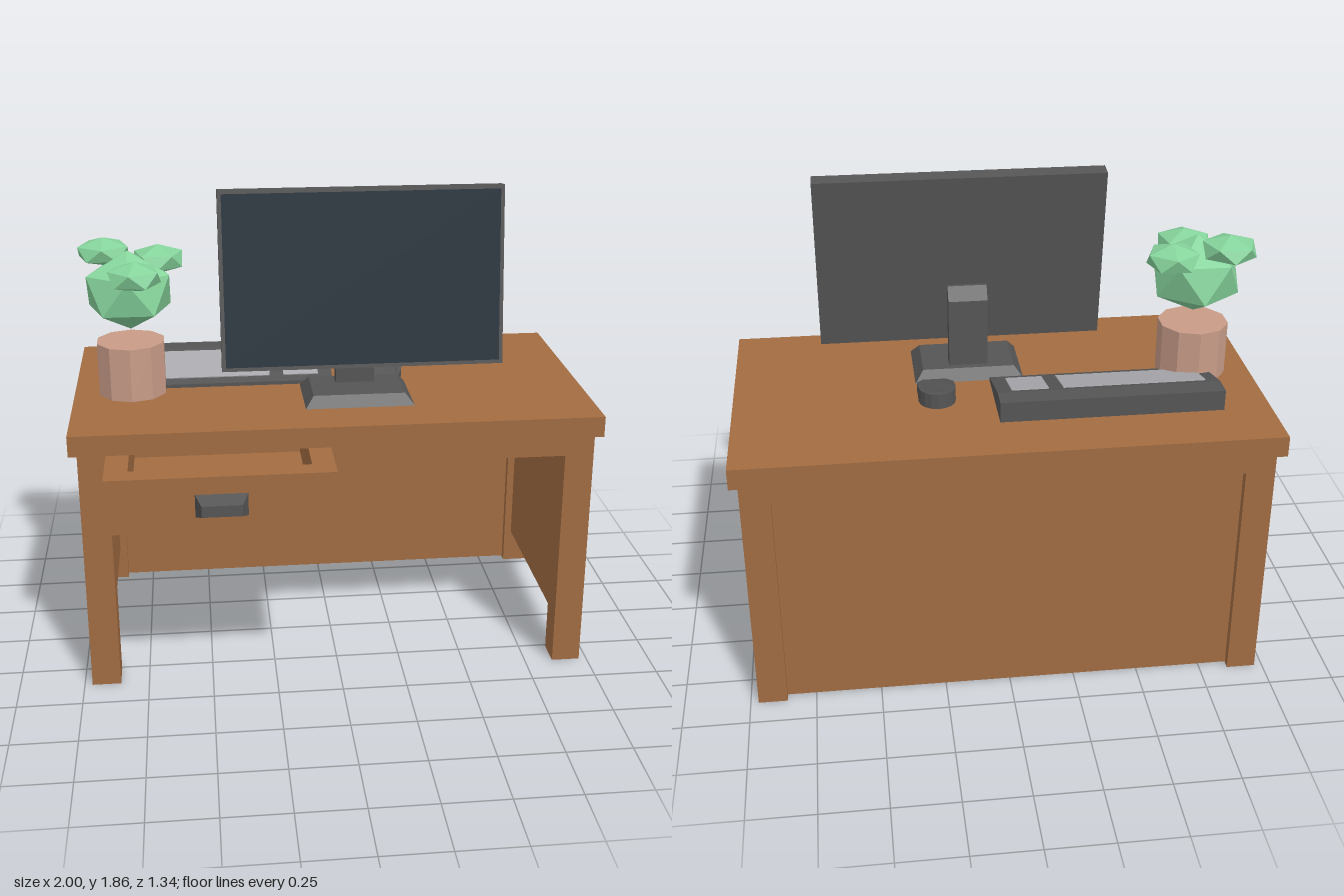
import * as THREE from 'three';

const mat = (name, color) => {
  const m = new THREE.MeshStandardMaterial({ color });
  m.name = name;
  return m;
};

export function createModel() {
  const wood = mat('wood', 0xa26c42);
  const grey = mat('dark grey plastic', 0x555555);
  const glass = mat('screen glass', 0x24303a);
  const keyGrey = mat('key grey', 0xa9a9ae);
  const clay = mat('clay', 0xc89c88);
  const leaf = mat('leaf green', 0x86d49c);

  const root = new THREE.Group();
  root.name = 'deskSetup';
  const group = (name) => {
    const g = new THREE.Group();
    g.name = name;
    root.add(g);
    return g;
  };
  const add = (parent, name, geo, material) => {
    const m = new THREE.Mesh(geo, material);
    m.name = name;
    parent.add(m);
    return m;
  };
  // Box given by its min and max on each axis
  const box = (parent, name, material, x0, x1, y0, y1, z0, z1) => {
    const g = new THREE.BoxGeometry(x1 - x0, y1 - y0, z1 - z0);
    g.translate((x0 + x1) / 2, (y0 + y1) / 2, (z0 + z1) / 2);
    return add(parent, name, g, material);
  };
  const faceted = (geo) => {
    const g = geo.index ? geo.toNonIndexed() : geo;
    g.computeVertexNormals();
    return g;
  };
  // Box standing on y = 0 whose top is inset on all sides
  const frustum = (w, h, d, inset) => {
    const g = new THREE.BoxGeometry(w, h, d).translate(0, h / 2, 0);
    const p = g.attributes.position;
    for (let i = 0; i < p.count; i++) {
      if (p.getY(i) < h / 2) continue;
      p.setX(i, p.getX(i) - Math.sign(p.getX(i)) * inset);
      p.setZ(i, p.getZ(i) - Math.sign(p.getZ(i)) * inset);
    }
    return faceted(g);
  };
  // Side profile of [z, y] points, extruded from x0 to x1
  const profile = (pts, x0, x1) => {
    const s = new THREE.Shape(pts.map(([z, y]) => new THREE.Vector2(-z, y)));
    const g = new THREE.ExtrudeGeometry(s, { depth: x1 - x0, bevelEnabled: false });
    return g.rotateY(Math.PI / 2).translate(x0, 0, 0);
  };

  // Desk
  const desk = group('desk');
  box(desk, 'deskTop', wood, -1, 1, 0.97, 1.05, -0.67, 0.39);
  for (const s of [-1, 1]) {
    const span = (a, b) => (s > 0 ? [a, b] : [-b, -a]);
    for (const [z0, z1] of [[0.26, 0.37], [-0.64, -0.53]]) {
      box(desk, 'leg', wood, ...span(0.86, 0.97), 0, 0.97, z0, z1);
    }
    box(desk, 'sideRail', wood, ...span(0.86, 0.97), 0.89, 0.97, -0.53, 0.26);
    box(desk, 'sidePanel', wood, ...span(0.89, 0.94), 0.14, 0.89, -0.53, 0.26);
  }
  box(desk, 'backRail', wood, -0.86, 0.86, 0.89, 0.97, -0.64, -0.53);
  box(desk, 'backPanel', wood, -0.86, 0.86, 0.005, 0.89, -0.61, -0.56);
  box(desk, 'frontRail', wood, -0.035, 0.86, 0.89, 0.97, 0.26, 0.37);
  box(desk, 'drawerSupport', wood, -0.86, -0.25, 0.67, 0.75, -0.56, 0.335);

  // Open drawer
  const drawer = group('drawer');
  box(drawer, 'drawerFront', wood, -0.865, -0.035, 0.755, 0.965, 0.53, 0.61);
  box(drawer, 'drawerRightSide', wood, -0.865, -0.78, 0.755, 0.965, -0.1, 0.53);
  box(drawer, 'drawerLeftSide', wood, -0.12, -0.035, 0.755, 0.965, -0.1, 0.53);
  box(drawer, 'drawerBack', wood, -0.78, -0.12, 0.755, 0.965, -0.1, -0.02);
  box(drawer, 'drawerFloor', wood, -0.78, -0.12, 0.755, 0.79, -0.02, 0.53);
  const handle = add(drawer, 'handle', frustum(0.19, 0.055, 0.087, 0.022), grey);
  handle.rotation.x = Math.PI / 2;
  handle.position.set(-0.45, 0.855, 0.61);

  // Monitor, leaning back
  const monitor = group('monitor');
  const panel = new THREE.Group();
  panel.name = 'monitorPanel';
  panel.position.set(0.118, 1.517, 0.033);
  panel.rotation.x = -0.132;
  monitor.add(panel);
  box(panel, 'casing', grey, -0.543, 0.543, -0.343, 0.343, -0.033, 0.03);
  box(panel, 'screen', glass, -0.528, 0.528, -0.328, 0.328, 0.03, 0.034);
  add(monitor, 'neck', profile(
    [[0.02, 1.06], [0.02, 1.41], [0, 1.41], [-0.035, 1.36], [-0.035, 1.06]], 0.02, 0.17), grey);
  const base = add(monitor, 'base', frustum(0.42, 0.042, 0.29, 0.033), grey);
  base.position.set(0.097, 1.05, 0.05);

  // Keyboard with a sloping top and a raised back ledge
  const keyboard = group('keyboard');
  add(keyboard, 'keyboardBody', profile(
    [[-0.1, 1.05], [-0.1, 1.064], [-0.36, 1.13], [-0.44, 1.13], [-0.44, 1.05]], -0.82, 0.02), grey);
  const slope = Math.atan2(0.066, 0.26);
  for (const [x0, x1] of [[-0.77, -0.23], [-0.175, -0.035]]) {
    const keys = add(keyboard, 'keys', new THREE.BoxGeometry(x1 - x0, 0.006, 0.2), keyGrey);
    keys.position.set((x0 + x1) / 2, 1.1, -0.238);
    keys.rotation.x = slope;
  }

  // Mouse: rounded outline whose top falls towards the front
  const outline = [[0.045, 0.095], [0.07, 0.15], [0.07, 0.24]];
  for (let i = 1; i < 8; i++) {
    const a = (i / 8) * Math.PI;
    outline.push([0.07 * Math.cos(a), 0.24 + 0.07 * Math.sin(a)]);
  }
  outline.push([-0.07, 0.24], [-0.07, 0.15], [-0.045, 0.095]);
  const mouseGeo = new THREE.ExtrudeGeometry(
    new THREE.Shape(outline.map(([x, y]) => new THREE.Vector2(x, y))),
    { depth: 0.06, bevelEnabled: false }).rotateX(-Math.PI / 2);
  const mp = mouseGeo.attributes.position;
  for (let i = 0; i < mp.count; i++) {
    if (mp.getY(i) > 0.03) mp.setY(i, 0.06 - Math.max(0, mp.getZ(i) + 0.24) * 0.3);
  }
  const mouse = add(root, 'mouse', faceted(mouseGeo), grey);
  mouse.position.set(0.235, 1.05, 0);

  // Potted plant
  const plant = group('plant');
  const pot = add(plant, 'pot', faceted(new THREE.CylinderGeometry(0.135, 0.135, 0.21, 10)), clay);
  pot.position.set(-0.773, 1.155, -0.087);
  // x, y, z, horizontal radius, vertical radius, turn
  const clumps = [
    [-0.77, 1.46, -0.09, 0.185, 0.155, Math.PI / 2],
    [-0.865, 1.59, -0.19, 0.113, 0.055, 0.3],
    [-0.655, 1.558, -0.18, 0.11, 0.058, 0.9],
    [-0.743, 1.54, 0.02, 0.113, 0.058, 1.4],
  ];
  for (const [x, y, z, r, h, turn] of clumps) {
    // Turned so that one corner points straight up
    const g = new THREE.IcosahedronGeometry(1, 0)
      .rotateZ(Math.atan2(2, 1 + Math.sqrt(5))).rotateY(turn).scale(r, h, r);
    add(plant, 'leafClump', faceted(g), leaf).position.set(x, y, z);
  }
  return root;
}
